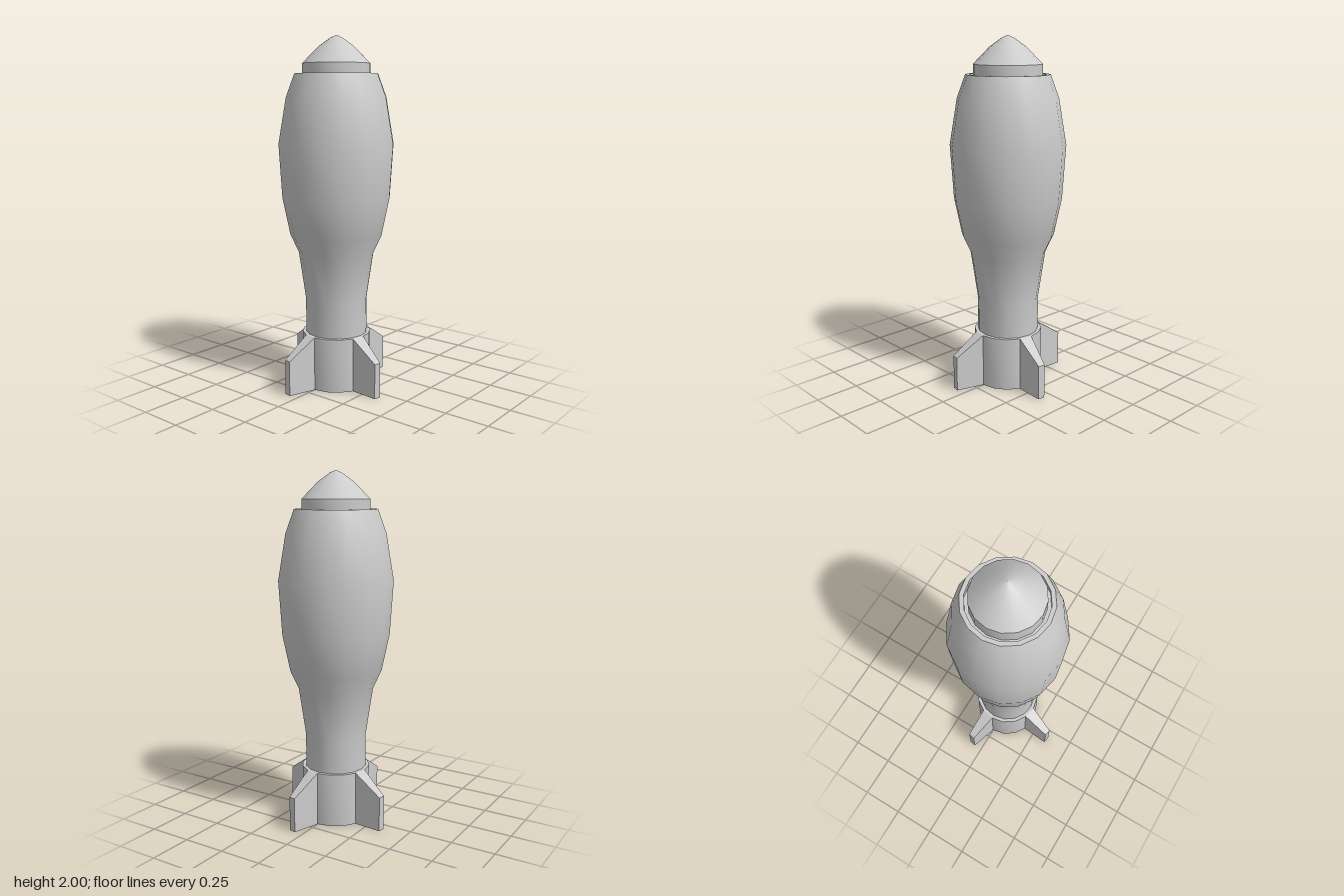
import * as THREE from 'three';
import { toCreasedNormals } from 'three/addons/utils/BufferGeometryUtils.js';

const SIDES = 16;

export function createModel() {
  const model = new THREE.Group();
  const material = new THREE.MeshStandardMaterial({ color: 0xcccccc });

  const add = (name, geometry) => {
    const mesh = new THREE.Mesh(geometry, material);
    mesh.name = name;
    model.add(mesh);
    return mesh;
  };

  // Turned part from [radius, height] pairs
  const turn = (name, profile) => add(name, toCreasedNormals(
    new THREE.LatheGeometry(profile.map(([r, y]) => new THREE.Vector2(r, y)), SIDES), 0.6));

  // Bulging casing with a narrow tail and a recessed top rim
  turn('casing', [
    [0.177, 0.29], [0.177, 0.505], [0.217, 0.78], [0.265, 0.885], [0.308, 1.095],
    [0.327, 1.4], [0.283, 1.66], [0.235, 1.79], [0.212, 1.79], [0.212, 1.76], [0, 1.76],
  ]);

  // Pointed nose cap standing in the recess
  turn('noseCap', [[0.192, 1.76], [0.192, 1.845], [0.1, 1.938], [0.035, 1.984], [0, 2]]);

  // Tail collar with a shallow hollow underneath
  const collarRadius = 0.197, collarHeight = 0.31;
  turn('tailCollar', [
    [0, 0.04], [0.15, 0.04], [0.15, 0], [collarRadius, 0],
    [collarRadius, collarHeight], [0.17, collarHeight],
  ]);

  // Tapered fin grown from one flat of the collar
  const half = Math.PI / SIDES;
  const root = { z: collarRadius * Math.cos(half), w: collarRadius * Math.sin(half), h: collarHeight };
  const tip = { z: 0.357, w: 0.02, h: 0.2 };
  const fin = new THREE.BoxGeometry(2, 2, 2);
  const pos = fin.attributes.position;
  for (let i = 0; i < pos.count; i++) {
    const end = pos.getZ(i) > 0 ? tip : root;
    pos.setXYZ(i, pos.getX(i) * end.w, pos.getY(i) > 0 ? end.h : 0, end.z);
  }
  fin.computeVertexNormals();

  for (let i = 0; i < 4; i++) {
    add('tailFin' + (i + 1), fin).rotation.y = i * Math.PI / 2 - half;
  }

  return model;
}
